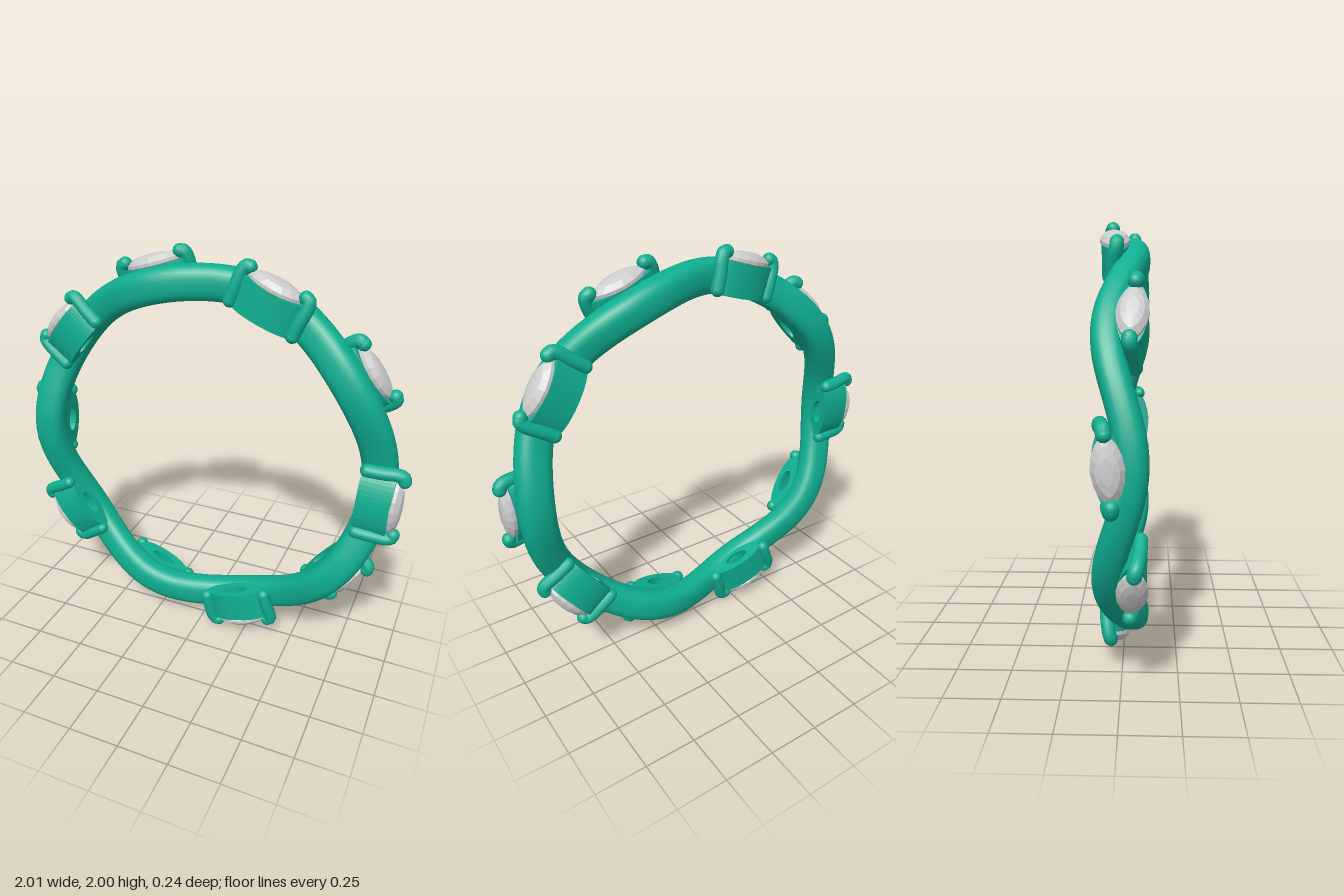
import * as THREE from 'three';

const CENTRE_Y = 1.01;
const DEG = Math.PI / 180;
const green = new THREE.MeshStandardMaterial({ color: 0x0fae90 });
const stoneGrey = new THREE.MeshStandardMaterial({ color: 0xcccccc, flatShading: true });

// Skin over equal-sized rings of points; wrap joins the last ring to the first
function loft(rings, wrap) {
  const n = rings[0].length, index = [];
  const last = wrap ? rings.length : rings.length - 1;
  for (let i = 0; i < last; i++) {
    for (let j = 0; j < n; j++) {
      const a = i * n + j, b = i * n + (j + 1) % n;
      const k = ((i + 1) % rings.length) * n;
      const c = k + j, d = k + (j + 1) % n;
      index.push(a, c, d, a, d, b);
    }
  }
  const geo = new THREE.BufferGeometry().setFromPoints(rings.flat());
  geo.setIndex(index);
  geo.computeVertexNormals();
  return geo;
}

// Pointed oval outline; a higher power gives sharper ends
function pointedOval(halfLength, halfWidth, power, n) {
  return Array.from({ length: n }, (_, i) => {
    const a = (i / n) * Math.PI * 2, s = Math.sin(a);
    return new THREE.Vector2(halfLength * Math.cos(a), halfWidth * Math.sign(s) * Math.abs(s) ** power);
  });
}

function mesh(name, geo, material) {
  const m = new THREE.Mesh(geo, material);
  m.name = name;
  return m;
}

// Band: rounded section swept round a circle, weaving front to back five times
function bandGeometry() {
  const rings = [], steps = 240, sides = 28;
  const soft = v => Math.sign(v) * Math.abs(v) ** 0.78;
  for (let i = 0; i < steps; i++) {
    const t = (i / steps) * Math.PI * 2;
    const wave = -0.05 * Math.cos(5 * (t - 70.5 * DEG));
    const ring = [];
    for (let j = 0; j < sides; j++) {
      const b = (j / sides) * Math.PI * 2;
      const r = 0.854 + 0.081 * soft(Math.cos(b));
      ring.push(new THREE.Vector3(r * Math.cos(t), r * Math.sin(t), wave + 0.068 * soft(Math.sin(b))));
    }
    rings.push(ring);
  }
  return loft(rings, true);
}

// Stone: faceted crown, thin girdle and shallow underside, as [height, scale]
function stoneGeometry() {
  const outline = pointedOval(0.135, 0.066, 1.4, 16);
  const levels = [[0.9, 0], [0.905, 0.4], [0.937, 1], [0.952, 1], [0.974, 0.72], [0.982, 0.4], [0.984, 0]];
  return loft(levels.map(([y, s]) => outline.map(p => new THREE.Vector3(p.x * s, y, p.y * s))), false);
}

// Collar: pointed oval block with an opening towards the finger
function collarGeometry() {
  const shape = new THREE.Shape(pointedOval(0.16, 0.06, 1.1, 40));
  shape.holes.push(new THREE.Path(pointedOval(0.065, 0.03, 1.1, 24)));
  const geo = new THREE.ExtrudeGeometry(shape, { depth: 0.155, bevelEnabled: false });
  geo.rotateX(-Math.PI / 2);
  return geo.translate(0, 0.78, 0);
}

// Prong: radial wire with rounded ends, hooked over one tip of the stone
function makeProng(side, outward) {
  const prong = new THREE.Group();
  prong.name = 'prong';
  const points = [
    [0.158, 0.8, 0.022], [0.16, 0.87, 0.018], [0.163, 0.935, 0.008], [0.155, 0.962, 0.002], [0.137, 0.968, 0],
  ].map(([x, y, z]) => new THREE.Vector3(x * side, y, z * outward));
  const path = new THREE.CatmullRomCurve3(points);
  prong.add(mesh('prongWire', new THREE.TubeGeometry(path, 20, 0.031, 12), green));
  for (const p of [points[0], points[points.length - 1]]) {
    const end = mesh('prongEnd', new THREE.SphereGeometry(0.031, 14, 10), green);
    end.position.copy(p);
    prong.add(end);
  }
  return prong;
}

// Setting: collar, stone and two prongs, built along local +y
function makeSetting(angle, z, twist, outward) {
  const setting = new THREE.Group();
  setting.name = 'stoneSetting';
  setting.add(mesh('collar', collarGeometry(), green));
  setting.add(mesh('stone', stoneGeometry(), stoneGrey));
  for (const side of [-1, 1]) setting.add(makeProng(side, outward));
  setting.rotation.y = twist;
  const holder = new THREE.Group();
  holder.name = outward > 0 ? 'frontSetting' : 'backSetting';
  holder.add(setting);
  holder.rotation.z = (angle - 90) * DEG;
  holder.position.set(0, CENTRE_Y, z);
  return holder;
}

export function createModel() {
  const ring = new THREE.Group();
  ring.name = 'ring';
  const band = mesh('band', bandGeometry(), green);
  band.position.y = CENTRE_Y;
  ring.add(band);
  // Settings sit in the hollows of the wave, alternating front and back
  for (let k = 0; k < 5; k++) {
    ring.add(makeSetting(68.6 + 72 * k, 0.05, -0.075, 1));
    ring.add(makeSetting(34.4 + 72 * k, -0.037, 0.1, -1));
  }
  return ring;
}
